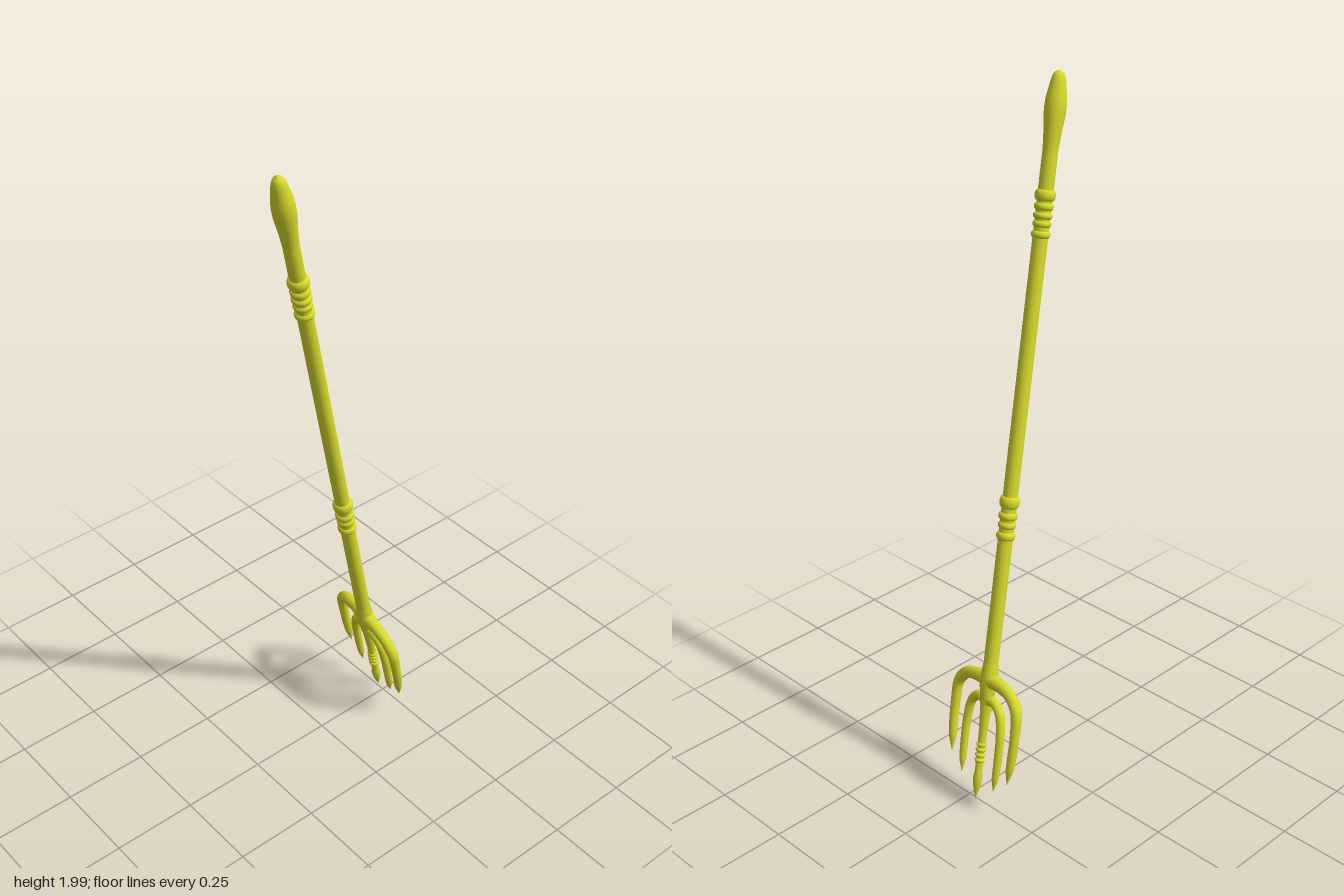
import * as THREE from 'three';

const material = new THREE.MeshStandardMaterial({ color: 0xd6da2a, side: THREE.DoubleSide });

// Surface of revolution about the pole axis, points are [radius, height]
function turned(name, points, sides = 20) {
  const geo = new THREE.LatheGeometry(points.map(([r, y]) => new THREE.Vector2(r, y)), sides);
  const mesh = new THREE.Mesh(geo, material);
  mesh.name = name;
  return mesh;
}

// Tube along a curve whose radius follows a list of evenly spaced values
function taperedTube(name, path, radii, segments = 36, sides = 12) {
  const curve = new THREE.CatmullRomCurve3(path.map(([x, y]) => new THREE.Vector3(x, y, 0)));
  const geo = new THREE.TubeGeometry(curve, segments, 1, sides);
  const pos = geo.attributes.position;
  const v = new THREE.Vector3();
  for (let i = 0; i <= segments; i++) {
    const u = i / segments;
    const f = u * (radii.length - 1);
    const k = Math.min(Math.floor(f), radii.length - 2);
    const r = THREE.MathUtils.lerp(radii[k], radii[k + 1], f - k);
    const centre = curve.getPointAt(u);
    for (let j = 0; j <= sides; j++) {
      const n = i * (sides + 1) + j;
      v.fromBufferAttribute(pos, n).sub(centre).multiplyScalar(r).add(centre);
      pos.setXYZ(n, v.x, v.y, v.z);
    }
  }
  geo.computeVertexNormals();
  const mesh = new THREE.Mesh(geo, material);
  mesh.name = name;
  return mesh;
}

// Rounded bead round the pole
function bead(name, y, radius, height) {
  const pts = [];
  for (let i = 0; i <= 8; i++) {
    const a = (i / 8 - 0.5) * Math.PI;
    pts.push([radius - 0.008 * (1 - Math.cos(a)), y + Math.sin(a) * height / 2]);
  }
  return turned(name, pts);
}

export function createModel() {
  const model = new THREE.Group();
  model.name = 'pitchfork';
  const fork = new THREE.Group();
  fork.name = 'leaningFork';
  model.add(fork);

  // Long pole
  fork.add(turned('pole', [[0.019, 0.3], [0.021, 0.42], [0.021, 1.86]]));

  // Pommel
  fork.add(turned('pommel', [
    [0.021, 1.85], [0.024, 1.895], [0.029, 1.94], [0.0295, 1.965], [0.028, 1.985],
    [0.021, 2.025], [0.0165, 2.042], [0.011, 2.051], [0, 2.056],
  ]));

  // Grip rings in two clusters
  const rings = [
    [0.793, 0.027, 0.024], [0.824, 0.0255, 0.02], [0.85, 0.027, 0.022], [0.89, 0.0285, 0.034],
    [1.628, 0.0265, 0.02], [1.656, 0.0255, 0.018], [1.678, 0.0265, 0.018],
    [1.702, 0.0265, 0.02], [1.732, 0.0285, 0.03],
  ];
  rings.forEach(([y, r, h]) => fork.add(bead('gripRing', y, r, h)));

  // Swollen socket where the outer arms join
  fork.add(turned('socket', [
    [0.021, 0.42], [0.025, 0.385], [0.025, 0.35], [0.02, 0.315], [0.017, 0.29],
  ]));

  // Middle tine with its spear point
  fork.add(turned('middleTine', [
    [0.018, 0.31], [0.015, 0.26], [0.012, 0.2], [0.011, 0.1],
    [0.011, 0.085], [0.014, 0.068], [0.011, 0.04], [0, 0],
  ], 12));
  for (let i = 0; i < 4; i++) fork.add(bead('tineRing', 0.122 + i * 0.016, 0.0155, 0.013));

  // Curved side tines, mirrored
  for (const s of [-1, 1]) {
    const mirror = (pts) => pts.map(([x, y]) => [x * s, y]);
    fork.add(taperedTube('outerTine', mirror([
      [0, 0.366], [0.05, 0.365], [0.1, 0.352], [0.131, 0.318],
      [0.138, 0.253], [0.136, 0.176], [0.129, 0.098],
    ]), [0.024, 0.019, 0.0175, 0.017, 0.015, 0.014, 0.0135, 0.012, 0.0005]));
    fork.add(taperedTube('innerTine', mirror([
      [0, 0.305], [0.034, 0.308], [0.062, 0.286], [0.075, 0.236],
      [0.078, 0.143], [0.074, 0.054],
    ]), [0.017, 0.014, 0.0135, 0.013, 0.0125, 0.012, 0.0115, 0.01, 0.0005]));
  }

  // Lean the whole tool: pole axis and spread direction of the tines
  const axis = new THREE.Vector3(-0.5, 2, 0.16).normalize();
  const spread = new THREE.Vector3(-0.11, -0.108, 0.99);
  spread.addScaledVector(axis, -spread.dot(axis)).normalize();
  const normal = new THREE.Vector3().crossVectors(spread, axis);
  fork.quaternion.setFromRotationMatrix(new THREE.Matrix4().makeBasis(spread, axis, normal));
  fork.position.set(0.256, 0.003, -0.028);
  return model;
}
